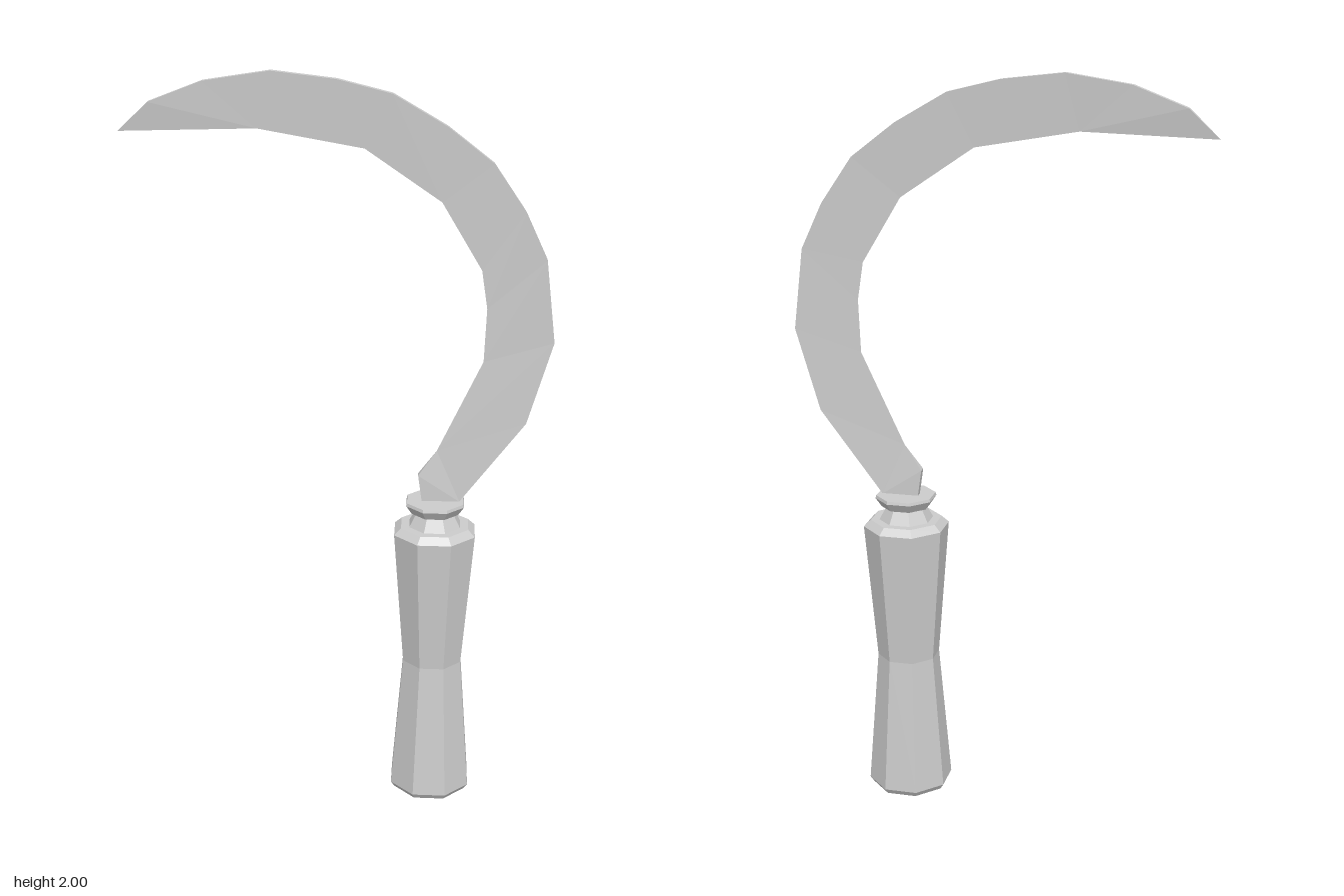
import * as THREE from 'three';

const HANDLE_X = 0.256;

// Blade cross-sections from handle to tip:
// [spine x, spine y, spine half thickness, edge x, edge y, edge half thickness]
const T = 0.01;
const SECTIONS = [
  [0.32, 0.866, T, 0.22, 0.866, T],
  [0.32, 0.868, T, 0.209, 0.942, T],
  [0.32, 0.87, T, 0.257, 1.01, 0],
  [0.489, 1.095, T, 0.257, 1.01, 0],
  [0.553, 1.317, T, 0.373, 1.26, 0],
  [0.526, 1.534, T, 0.378, 1.402, 0],
  [0.468, 1.656, T, 0.362, 1.503, 0],
  [0.384, 1.778, T, 0.257, 1.677, 0],
  [0.267, 1.868, T, 0.257, 1.677, 0],
  [0.13, 1.947, T, 0.061, 1.81, 0],
  [-0.008, 1.981, T, 0.061, 1.81, 0],
  [-0.172, 2.0, T, -0.209, 1.857, 0],
  [-0.341, 1.974, T, -0.209, 1.857, 0],
  [-0.479, 1.921, T, -0.209, 1.857, 0],
  [-0.558, 1.847, 0, -0.558, 1.847, 0],
];

function bladeGeometry() {
  const positions = [];
  const triangle = (a, b, c) => {
    const area = new THREE.Triangle(a, b, c).getArea();
    if (area > 1e-7) for (const p of [a, b, c]) positions.push(p.x, p.y, p.z);
  };
  const quad = (a, b, c, d) => {
    triangle(a, b, c);
    triangle(a, c, d);
  };
  // Four corners of each section: spine front/back, edge front/back
  const rings = SECTIONS.map(([sx, sy, st, ex, ey, et]) => ({
    sf: new THREE.Vector3(sx, sy, st),
    sb: new THREE.Vector3(sx, sy, -st),
    ef: new THREE.Vector3(ex, ey, et),
    eb: new THREE.Vector3(ex, ey, -et),
  }));
  for (let i = 0; i < rings.length - 1; i++) {
    const a = rings[i], b = rings[i + 1];
    quad(a.ef, a.sf, b.sf, b.ef); // front side
    quad(a.sb, a.eb, b.eb, b.sb); // back side
    quad(a.sf, a.sb, b.sb, b.sf); // spine
    quad(a.eb, a.ef, b.ef, b.eb); // cutting edge
  }
  const base = rings[0];
  quad(base.sf, base.ef, base.eb, base.sb);

  const geometry = new THREE.BufferGeometry();
  geometry.setAttribute('position', new THREE.Float32BufferAttribute(positions, 3));
  geometry.computeVertexNormals();
  return geometry;
}

// Eight-sided turned part; radii are measured across the flats
function octagonalLathe(profile) {
  const scale = 1 / Math.cos(Math.PI / 8);
  const points = profile.map(([r, y]) => new THREE.Vector2(r * scale, y));
  return new THREE.LatheGeometry(points, 8, Math.PI / 8);
}

export function createModel() {
  const model = new THREE.Group();
  model.name = 'sickle';

  const grey = new THREE.MeshStandardMaterial({ color: 0xcccccc });
  grey.name = 'light grey';
  grey.flatShading = true;

  const add = (name, geometry, x = 0) => {
    const mesh = new THREE.Mesh(geometry, grey);
    mesh.name = name;
    mesh.position.x = x;
    model.add(mesh);
  };

  // Waisted grip with chamfered ends
  add('handle', octagonalLathe([
    [0, 0], [0.098, 0], [0.108, 0.016], [0.079, 0.4],
    [0.108, 0.782], [0.09, 0.8], [0, 0.8],
  ]), HANDLE_X);

  // Narrow neck flaring into the collar that holds the blade
  add('collar', octagonalLathe([
    [0.068, 0.8], [0.05, 0.836], [0.062, 0.838], [0.077, 0.862], [0.075, 0.87], [0, 0.87],
  ]), HANDLE_X);

  // Curved blade, thick at the spine and sharp on the inside
  add('blade', bladeGeometry());

  return model;
}
